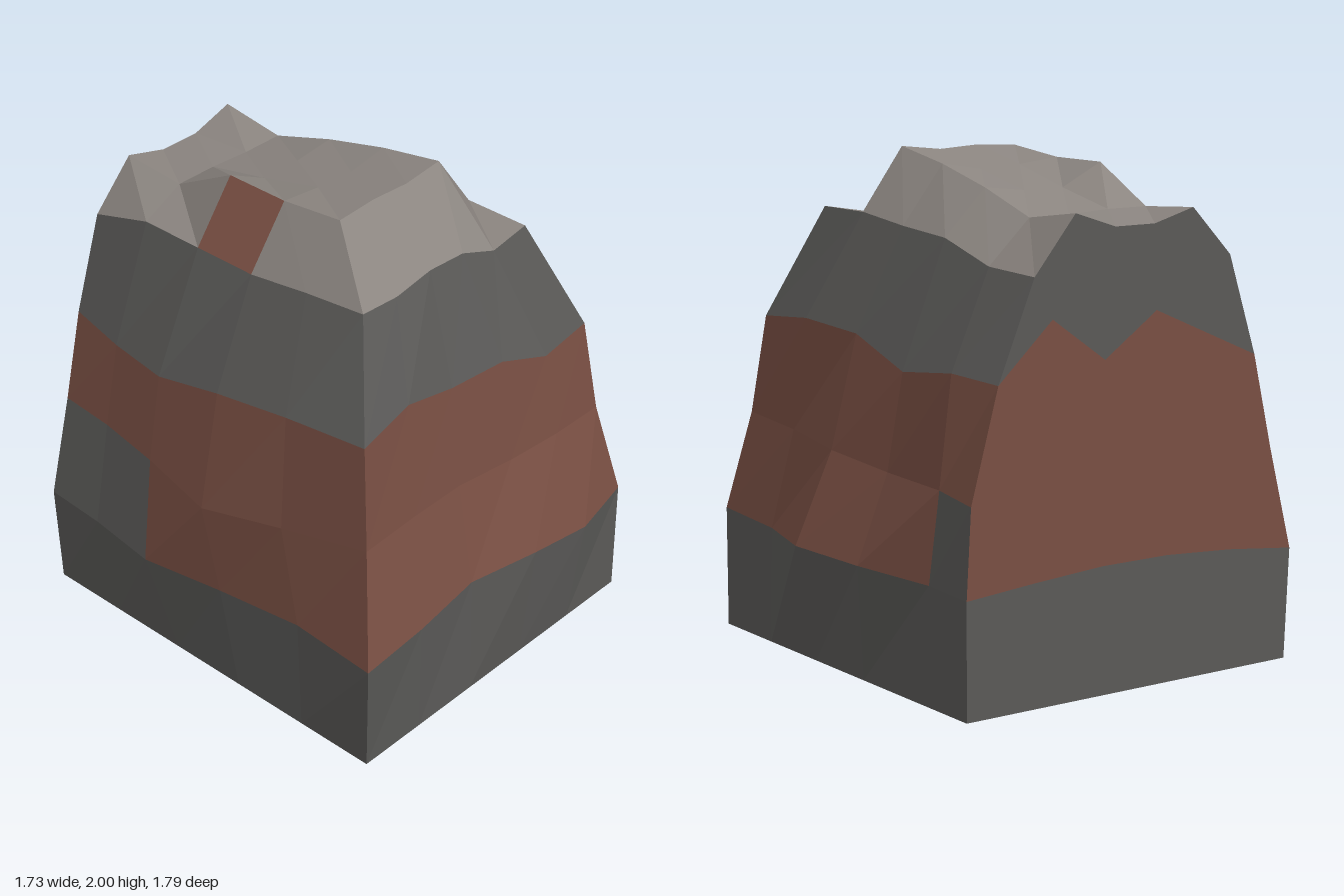
import * as THREE from 'three';

const make = (name, color) => {
  const m = new THREE.MeshStandardMaterial({ color, flatShading: true, side: THREE.DoubleSide });
  m.name = name;
  return m;
};
const lerp = THREE.MathUtils.lerp;
const EVEN = [0, 0.2, 0.4, 0.6, 0.8, 1];

// Crown: a 6 x 6 height grid, rows run from front to back
const crownX = EVEN.map(t => lerp(-0.48, 0.44, t));
const crownZ = EVEN.map(t => lerp(0.52, -0.9, t));
const crownY = [
  [1.78, 1.77, 1.80, 1.79, 1.72, 1.75],
  [1.75, 1.98, 1.99, 1.98, 2.00, 1.75],
  [1.71, 1.95, 1.93, 1.92, 1.95, 1.72],
  [1.71, 1.95, 1.86, 1.86, 1.88, 1.70],
  [1.71, 1.80, 1.80, 1.79, 1.79, 1.62],
  [1.63, 1.82, 1.77, 1.77, 1.83, 1.61],
];
const crown = crownY.map((row, r) => row.map((y, c) => [crownX[c], y, crownZ[r]]));

// Corner columns at levels 0 to 3, as [x, z]
const corners = {
  frontRight: [[-0.79, 0.83], [-0.85, 0.89], [-0.73, 0.77], [-0.7, 0.73]],
  frontLeft: [[0.74, 0.83], [0.74, 0.83], [0.66, 0.75], [0.615, 0.7]],
  backLeft: [[0.74, -0.9], [0.74, -0.9], [0.72, -0.9], [0.6, -0.9]],
  backRight: [[-0.79, -0.9], [-0.81, -0.9], [-0.7, -0.9], [-0.61, -0.9]],
};

// Walls: spacing of the columns, then outward coordinate and height at levels 1 to 3
const walls = {
  front: {
    from: 'frontRight', to: 'frontLeft', axis: 'z', spread: [0, 0.215, 0.42, 0.625, 0.82, 1],
    out: [[0.89, 0.855, 0.825, 0.88, 0.885, 0.83], [0.77, 0.74, 0.72, 0.74, 0.75, 0.75], [0.73, 0.69, 0.67, 0.69, 0.7, 0.7]],
    y: [[0.53, 0.515, 0.535, 0.525, 0.48, 0.495], [0.97, 0.95, 0.93, 0.91, 0.9, 0.9], [1.4, 1.43, 1.36, 1.355, 1.26, 1.3]],
    top: crown[0],
  },
  left: {
    from: 'frontLeft', to: 'backLeft', axis: 'x', spread: [0, 0.21, 0.43, 0.65, 0.86, 1],
    out: [[0.74, 0.74, 0.86, 0.82, 0.74, 0.74], [0.66, 0.67, 0.72, 0.7, 0.7, 0.72], [0.615, 0.63, 0.62, 0.64, 0.65, 0.6]],
    y: [[0.495, 0.475, 0.49, 0.48, 0.465, 0.455], [0.9, 0.88, 0.86, 0.83, 0.82, 0.8], [1.3, 1.33, 1.31, 1.21, 1.25, 1.23]],
    top: crown.map(r => r[5]),
  },
  back: {
    from: 'backLeft', to: 'backRight', axis: 'z', spread: EVEN,
    out: [1, 2, 3].map(() => Array(6).fill(-0.9)),
    y: [[0.455, 0.48, 0.5, 0.5, 0.48, 0.445], [0.8, 0.85, 0.87, 0.88, 0.87, 0.86], [1.23, 1.45, 1.28, 1.445, 1.34, 1.235]],
    top: [...crown[5]].reverse(),
  },
  right: {
    from: 'backRight', to: 'frontRight', axis: 'x', spread: [0, 0.16, 0.34, 0.55, 0.77, 1],
    out: [[-0.81, -0.83, -0.87, -0.825, -0.8, -0.85], [-0.7, -0.73, -0.78, -0.845, -0.785, -0.73], [-0.61, -0.65, -0.7, -0.72, -0.72, -0.7]],
    y: [[0.445, 0.45, 0.45, 0.47, 0.5, 0.53], [0.86, 0.87, 0.87, 0.85, 0.91, 0.97], [1.235, 1.21, 1.22, 1.31, 1.37, 1.4]],
    top: crown.map(r => r[0]).reverse(),
  },
};

// Grid of points for one wall, levels from the ground to the crown edge
function wallGrid(w) {
  const rows = [0, 1, 2, 3].map(level => EVEN.map((t, i) => {
    const a = corners[w.from][level], b = corners[w.to][level];
    const f = level ? w.spread[i] : t;
    const p = [lerp(a[0], b[0], f), level ? w.y[level - 1][i] : 0, lerp(a[1], b[1], f)];
    if (level) p[w.axis === 'x' ? 0 : 2] = w.out[level - 1][i];
    return p;
  }));
  return [...rows, w.top];
}

// Flat faceted mesh from a list of four-cornered cells
function cellMesh(name, cells, material) {
  const pos = cells.flatMap(([a, b, c, d]) => [a, b, c, a, c, d].flat());
  const g = new THREE.BufferGeometry();
  g.setAttribute('position', new THREE.Float32BufferAttribute(pos, 3));
  g.computeVertexNormals();
  const mesh = new THREE.Mesh(g, material);
  mesh.name = name;
  return mesh;
}

export function createModel() {
  const stone = make('dark stone', 0x5a5957);
  const rust = make('rust stone', 0x794f43);
  const pale = make('pale stone', 0x8b8580);
  const parts = { base: [], rustBand: [], shoulder: [], stonePatches: [], cap: [], rustPatch: [] };
  const cell = (g, r, c) => [g[r][c], g[r][c + 1], g[r + 1][c + 1], g[r + 1][c]];

  // Walls in horizontal strata, with a few bare stone cells near the back
  const strata = ['base', 'rustBand', 'rustBand', 'shoulder'];
  for (const [side, w] of Object.entries(walls)) {
    const grid = wallGrid(w);
    for (let r = 0; r < 4; r++) for (let c = 0; c < 5; c++) {
      const bare = r === 1 && ((side === 'left' && c === 4) || (side === 'right' && c < 2));
      parts[bare ? 'stonePatches' : strata[r]].push(cell(grid, r, c));
    }
  }

  // Crown, with one rust cell on its right slope
  for (let r = 0; r < 5; r++) for (let c = 0; c < 5; c++) {
    parts[r === 2 && c === 0 ? 'rustPatch' : 'cap'].push(cell(crown, r, c));
  }

  const materials = { base: stone, rustBand: rust, shoulder: stone, stonePatches: stone, cap: pale, rustPatch: rust };
  const group = new THREE.Group();
  group.name = 'rock';
  for (const name in parts) group.add(cellMesh(name, parts[name], materials[name]));
  return group;
}
